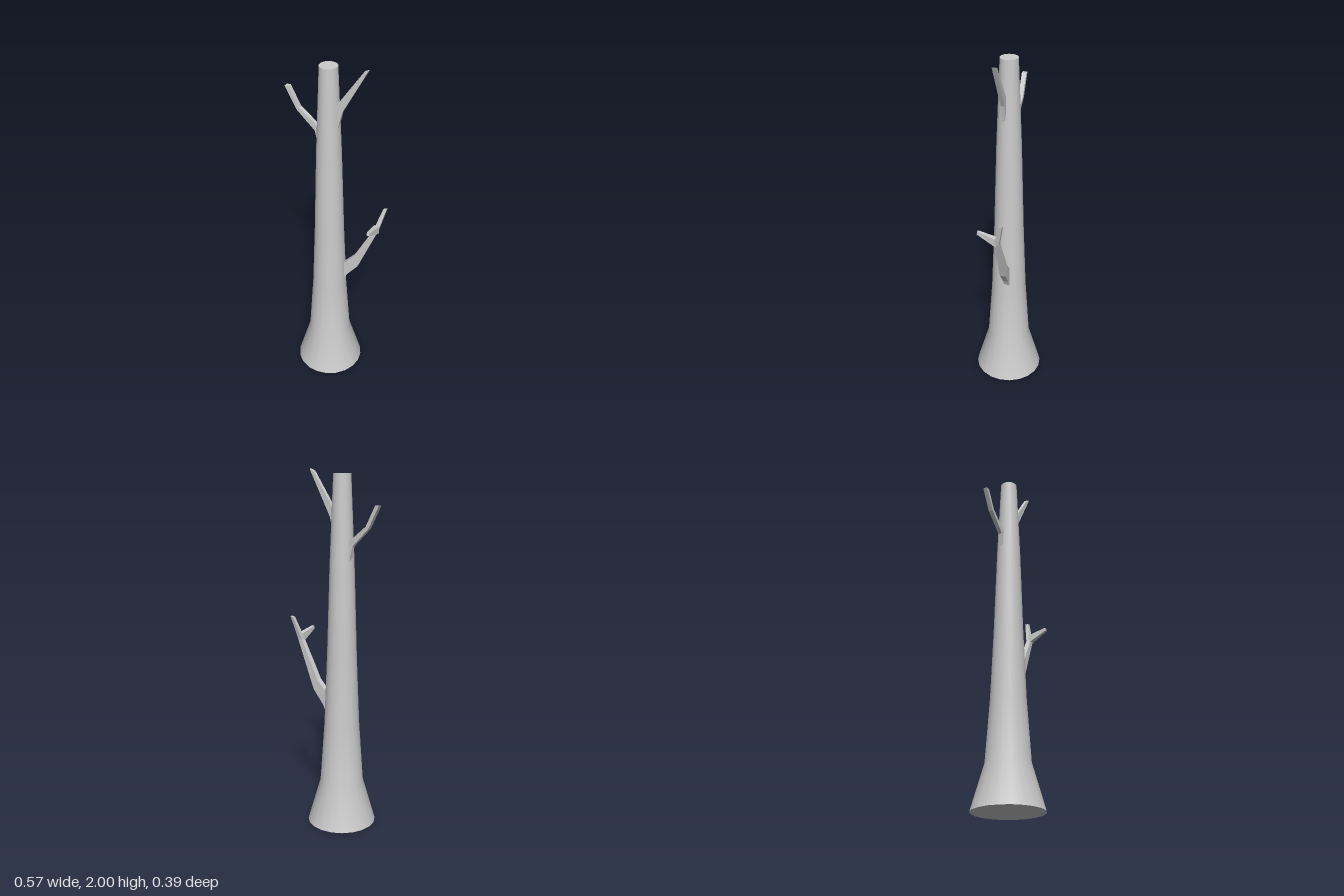
import * as THREE from 'three';

const material = new THREE.MeshStandardMaterial({ color: 0xcccccc });

// Four corners of a section: left edge (ax, ay), right edge (bx, by), back z0, front z1
const section = (ax, ay, bx, by, z0, z1) => [[ax, ay, z0], [ax, ay, z1], [bx, by, z1], [bx, by, z0]];

// Faceted four-sided limb through a list of sections, closed at both ends
function limb(name, sections) {
  const pos = [];
  const quad = (a, b, c, d) => pos.push(...a, ...b, ...c, ...a, ...c, ...d);
  for (let s = 0; s < sections.length - 1; s++) {
    const lo = sections[s], hi = sections[s + 1];
    for (let i = 0; i < 4; i++) {
      const j = (i + 1) % 4;
      quad(lo[i], lo[j], hi[j], hi[i]);
    }
  }
  quad(...sections[sections.length - 1]);
  quad(...[...sections[0]].reverse());
  const geo = new THREE.BufferGeometry();
  geo.setAttribute('position', new THREE.Float32BufferAttribute(pos, 3));
  geo.computeVertexNormals();
  const mesh = new THREE.Mesh(geo, material);
  mesh.name = name;
  return mesh;
}

export function createModel() {
  const model = new THREE.Group();
  model.name = 'bareTree';

  // Trunk: smooth tapered shell with flared foot and flat ends
  const trunk = new THREE.Group();
  trunk.name = 'trunk';
  trunk.position.x = -0.037;
  const profile = [[0.195, 0], [0.123, 0.25], [0.099, 0.6], [0.083, 1], [0.068, 1.5], [0.048, 1.98]];
  const bark = new THREE.Mesh(
    new THREE.LatheGeometry(profile.map(([r, y]) => new THREE.Vector2(r, y)), 20), material);
  bark.name = 'bark';
  trunk.add(bark);
  for (const [name, r, y, tilt] of [['trunkTop', 0.048, 1.98, -1], ['trunkBottom', 0.195, 0, 1]]) {
    const cap = new THREE.Mesh(new THREE.CircleGeometry(r, 20), material);
    cap.name = name;
    cap.rotation.x = tilt * Math.PI / 2;
    cap.position.y = y;
    trunk.add(cap);
  }
  model.add(trunk);

  // Lower left branch, bending back at the tip
  model.add(limb('lowerLeftBranch', [
    section(0.02, 0.74, 0.04, 0.62, -0.03, 0.005),
    section(0.055, 0.77, 0.075, 0.69, -0.03, 0.002),
    section(0.11, 0.83, 0.138, 0.77, -0.034, 0),
    section(0.223, 1.05, 0.25, 1.05, -0.03, -0.002),
    section(0.262, 1.18, 0.282, 1.185, -0.058, -0.04),
  ]));

  // Side twig growing forward from the lower branch
  model.add(limb('sideTwig', [
    [[0.222, 1.035, -0.015], [0.254, 1.035, -0.015], [0.256, 1.085, -0.015], [0.224, 1.085, -0.015]],
    [[0.227, 1.092, 0.095], [0.243, 1.092, 0.095], [0.243, 1.11, 0.092], [0.227, 1.11, 0.092]],
  ]));

  // Upper left branch
  model.add(limb('upperLeftBranch', [
    section(-0.01, 1.72, 0.018, 1.64, 0, 0.02),
    section(0.015, 1.785, 0.045, 1.75, 0, 0.02),
    section(0.157, 1.99, 0.18, 2, 0, 0.022),
  ]));

  // Upper right branch with an elbow
  model.add(limb('upperRightBranch', [
    section(-0.1, 1.52, -0.07, 1.58, -0.022, 0),
    section(-0.118, 1.6, -0.1, 1.63, -0.022, 0),
    section(-0.222, 1.7, -0.205, 1.712, -0.026, -0.001),
    section(-0.285, 1.82, -0.262, 1.82, -0.027, -0.002),
  ]));

  return model;
}
